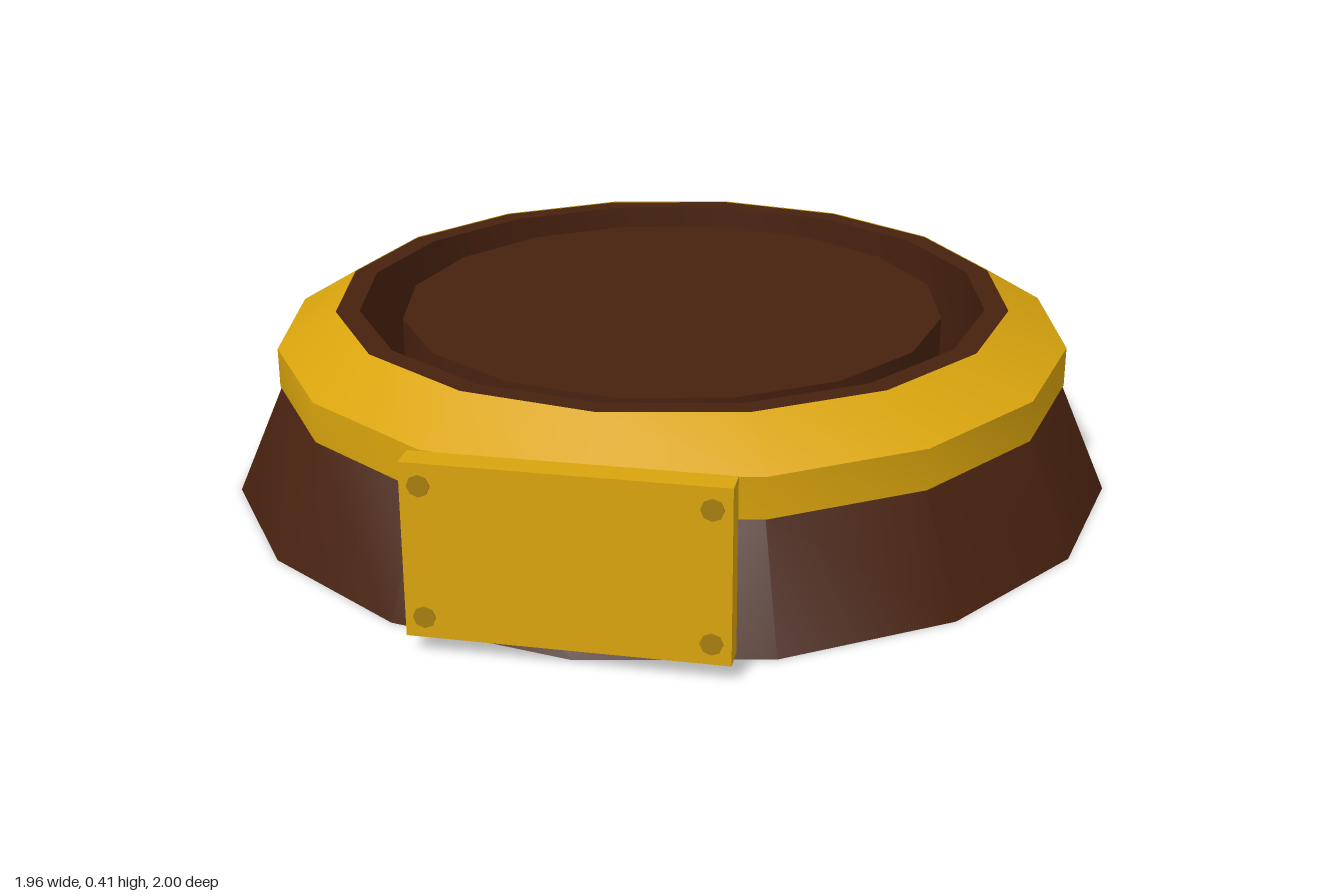
import * as THREE from 'three';
import { toCreasedNormals } from 'three/addons/utils/BufferGeometryUtils.js';

export function createModel() {
  const model = new THREE.Group();
  model.name = 'displayBase';

  const mat = (name, color) => {
    const m = new THREE.MeshStandardMaterial({ color });
    m.name = name;
    return m;
  };
  const brown = mat('dark brown wood', 0x47210f);
  const gold = mat('gold', 0xd9a40d);
  const darkGold = mat('dark gold', 0xa87f0e);

  const add = (name, geometry, material, x = 0, y = 0, z = 0) => {
    const mesh = new THREE.Mesh(geometry, material);
    mesh.name = name;
    mesh.position.set(x, y, z);
    model.add(mesh);
    return mesh;
  };

  // Sixteen-sided turned parts, smooth around and sharp at profile corners
  const turned = (profile) => toCreasedNormals(
    new THREE.LatheGeometry(profile.map(([r, y]) => new THREE.Vector2(r, y)), 16), 0.5);
  const centreZ = -0.018;

  // Tapered plinth with a raised rim, a deep groove and a flat centre disc
  add('plinth', turned([
    [0, 0], [0.982, 0], [0.876, 0.24], [0.8, 0.3], [0.75, 0.403],
    [0.698, 0.403], [0.698, 0.15], [0.605, 0.15], [0.605, 0.378], [0, 0.378],
  ]), brown, 0, 0, centreZ);

  // Gold band with a sloping top
  add('goldBand', turned([
    [0.76, 0.24], [0.88, 0.24], [0.88, 0.327], [0.75, 0.405], [0.75, 0.38],
  ]), gold, 0, 0, centreZ);

  // Bracket joining the plate to the plinth
  add('plateBracket', new THREE.BoxGeometry(0.47, 0.205, 0.13), brown, 0, 0.212, 0.88);

  // Name plate
  add('plate', new THREE.BoxGeometry(0.614, 0.352, 0.055), gold, 0, 0.214, 0.9695);

  // Rivets in the plate corners
  const rivet = new THREE.CylinderGeometry(0.022, 0.022, 0.006, 8).rotateX(Math.PI / 2);
  for (const x of [-0.27, 0.27]) {
    for (const y of [0.08, 0.346]) add('rivet', rivet, darkGold, x, y, 0.997);
  }

  return model;
}
